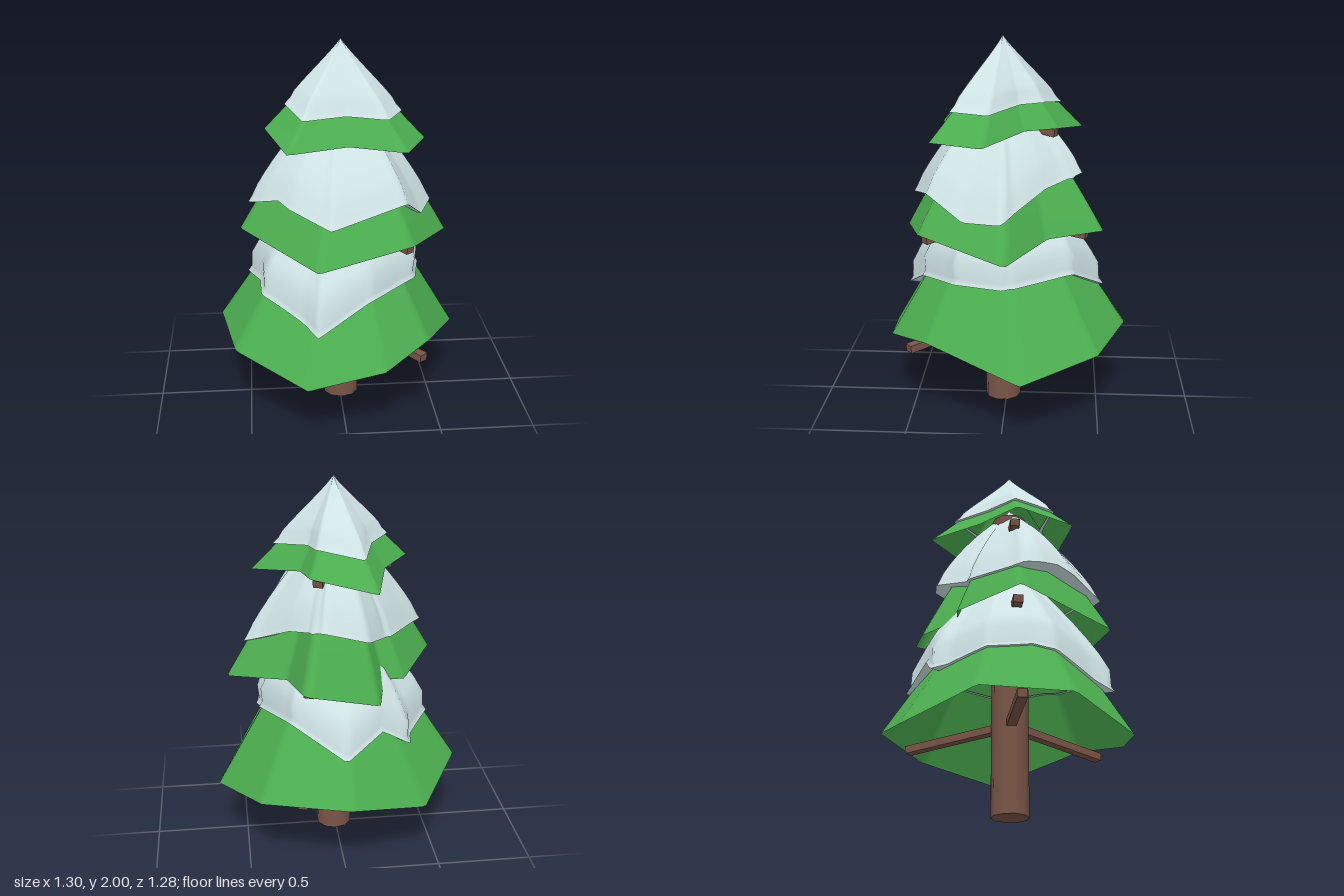
import * as THREE from 'three';

const CX = 0.005, CZ = 0.02, N = 120, TAU = Math.PI * 2;

// Where a ray from the trunk axis meets an outline of [x, z, y] corners: radius and height
function hit(outline, a) {
  const dx = Math.cos(a), dz = Math.sin(a);
  for (let i = 0; i < outline.length; i++) {
    const A = outline[i], B = outline[(i + 1) % outline.length];
    const ax = A[0] - CX, az = A[1] - CZ, bx = B[0] - CX, bz = B[1] - CZ;
    const s = dx * az - dz * ax, e = dx * bz - dz * bx;
    if (s * e > 0 || s === e) continue;
    const k = s / (s - e);
    const r = dx * (ax + k * (bx - ax)) + dz * (az + k * (bz - az));
    if (r > 0) return { r, y: A[2] + k * (B[2] - A[2]) };
  }
  return { r: 0.1, y: outline[0][2] };
}

// Closed skirt from rings; at(angle, ring) gives [radius, height]
function skirt(rings, at) {
  const pos = [], idx = [];
  for (let j = 0; j < rings; j++) {
    for (let i = 0; i < N; i++) {
      const a = (i + 0.37) / N * TAU;
      const [r, y] = at(a, j);
      pos.push(CX + r * Math.cos(a), y, CZ + r * Math.sin(a));
    }
  }
  for (let j = 0; j < rings - 1; j++) {
    for (let i = 0; i < N; i++) {
      const p = j * N + i, q = j * N + (i + 1) % N;
      idx.push(q, p, p + N, q, p + N, q + N);
    }
  }
  const g = new THREE.BufferGeometry();
  g.setAttribute('position', new THREE.Float32BufferAttribute(pos, 3));
  g.setIndex(idx);
  g.computeVertexNormals();
  return g;
}

export function createModel() {
  const mat = (name, color, side = THREE.FrontSide) => {
    const m = new THREE.MeshStandardMaterial({ color, side });
    m.name = name;
    return m;
  };
  const green = mat('needle green', 0x4caf50, THREE.DoubleSide);
  const white = mat('snow', 0xd0e4e6, THREE.DoubleSide);
  const brown = mat('bark', 0x795548);
  const tree = new THREE.Group();
  tree.name = 'snowyTree';
  const add = (name, geo, material) => {
    const m = new THREE.Mesh(geo, material);
    m.name = name;
    tree.add(m);
    return m;
  };

  // One tier: foliage skirt, snow cap and three branches
  function tier(name, { top, snowTop, bulge, puff, rim, snow, branchY, reach }) {
    const leafR = (a, y) => {
      const h = hit(rim, a);
      return h.r * Math.pow(Math.max(0, Math.min(1, (top - y) / (top - h.y))), bulge);
    };
    add(name + 'Foliage', skirt(10, (a, j) => {
      const y0 = hit(rim, a).y, y = y0 + (top - y0) * j / 9;
      return [leafR(a, y), y];
    }), green);

    // Snow: a puffed shell that closes at the top, and its flat underside
    const snowEdge = (a) => {
      const s = hit(snow, a), base = leafR(a, s.y);
      return { y: s.y, base, off: Math.min(0.09, Math.max(0.018, s.r - base)) };
    };
    add(name + 'Snow', skirt(11, (a, j) => {
      const { y: y0, base, off } = snowEdge(a);
      if (j === 0) return [base + off, y0];
      const lip = y0 + 0.03, k = (j - 1) / 9, y = lip + (snowTop - lip) * k;
      const swell = off * (1 - k * k) + puff * Math.sin(Math.PI * Math.sqrt(k));
      return [j === 10 ? 0 : leafR(a, y) + swell, y];
    }), white);
    add(name + 'SnowUnderside', skirt(2, (a, j) => {
      const { y, base, off } = snowEdge(a);
      return [j ? base + off : base - 0.02, y];
    }), white);

    // Branches, drooping slightly from the trunk
    [50, 172, -68].forEach((deg, i) => {
      const a = THREE.MathUtils.degToRad(deg);
      const from = new THREE.Vector3(CX, branchY + 0.05, CZ);
      const to = new THREE.Vector3(CX + reach[i] * Math.cos(a), branchY, CZ + reach[i] * Math.sin(a));
      const b = add(name + 'Branch' + (i + 1), new THREE.BoxGeometry(0.05, 0.04, from.distanceTo(to)), brown);
      b.position.copy(from).lerp(to, 0.5);
      b.lookAt(to);
    });
  }

  // Trunk
  add('trunk', new THREE.CylinderGeometry(0.097, 0.097, 1.7, 10), brown).position.set(CX, 0.85, CZ);

  // Tiers, with rim corners as x, z, y
  tier('lower', {
    top: 1.45, snowTop: 1.48, bulge: 1, puff: 0.06, branchY: 0.43, reach: [0.61, 0.6, 0.6],
    rim: [[0, -0.65, 0.45], [0.435, -0.49, 0.43], [0.65, -0.1, 0.35], [0.44, 0.39, 0.48], [0.185, 0.61, 0.42],
      [-0.21, 0.64, 0.35], [-0.57, 0.35, 0.44], [-0.65, -0.1, 0.45], [-0.42, -0.485, 0.35]],
    snow: [[0, -0.53, 0.66], [0.27, -0.36, 0.81], [0.43, 0, 0.77], [0.38, 0.25, 0.78], [0.13, 0.44, 0.74],
      [-0.15, 0.56, 0.6], [-0.43, 0.15, 0.75], [-0.355, -0.36, 0.66], [-0.2, -0.4, 0.76]],
  });
  tier('middle', {
    top: 1.75, snowTop: 1.78, bulge: 0.8, puff: 0.01, branchY: 1, reach: [0.5, 0.44, 0.48],
    rim: [[0.21, -0.515, 1.03], [0.275, -0.225, 1], [0.585, -0.02, 0.95], [0.34, 0.435, 1.03], [-0.145, 0.555, 0.95],
      [-0.53, 0.1, 1.03], [-0.335, -0.235, 0.98], [-0.23, -0.24, 0.98], [-0.18, -0.43, 0.92]],
    snow: [[0.1, -0.4, 1.31], [0.26, -0.21, 1.26], [0.485, 0.01, 1.13], [0.41, 0.2, 1.12], [0.31, 0.39, 1.24],
      [-0.08, 0.51, 1.15], [-0.35, 0.3, 1.24], [-0.485, 0.12, 1.18], [-0.24, -0.2, 1.2], [-0.13, -0.37, 1.24]],
  });
  const star = [[-0.17, -0.4, 1.5], [0.155, -0.27, 1.55], [0.19, -0.1, 1.54], [0.435, 0.1, 1.5], [0.305, 0.38, 1.5],
    [0.025, 0.285, 1.51], [-0.285, 0.37, 1.5], [-0.39, 0.08, 1.56], [-0.24, -0.13, 1.55]];
  tier('upper', {
    top: 2, snowTop: 2, bulge: 1.15, puff: 0.015, branchY: 1.52, reach: [0.34, 0.31, 0.3],
    rim: star,
    snow: star.map(([x, z, y]) => [x * 0.66, z * 0.7, 1.64 + (y - 1.5) * 0.7]),
  });
  return tree;
}
